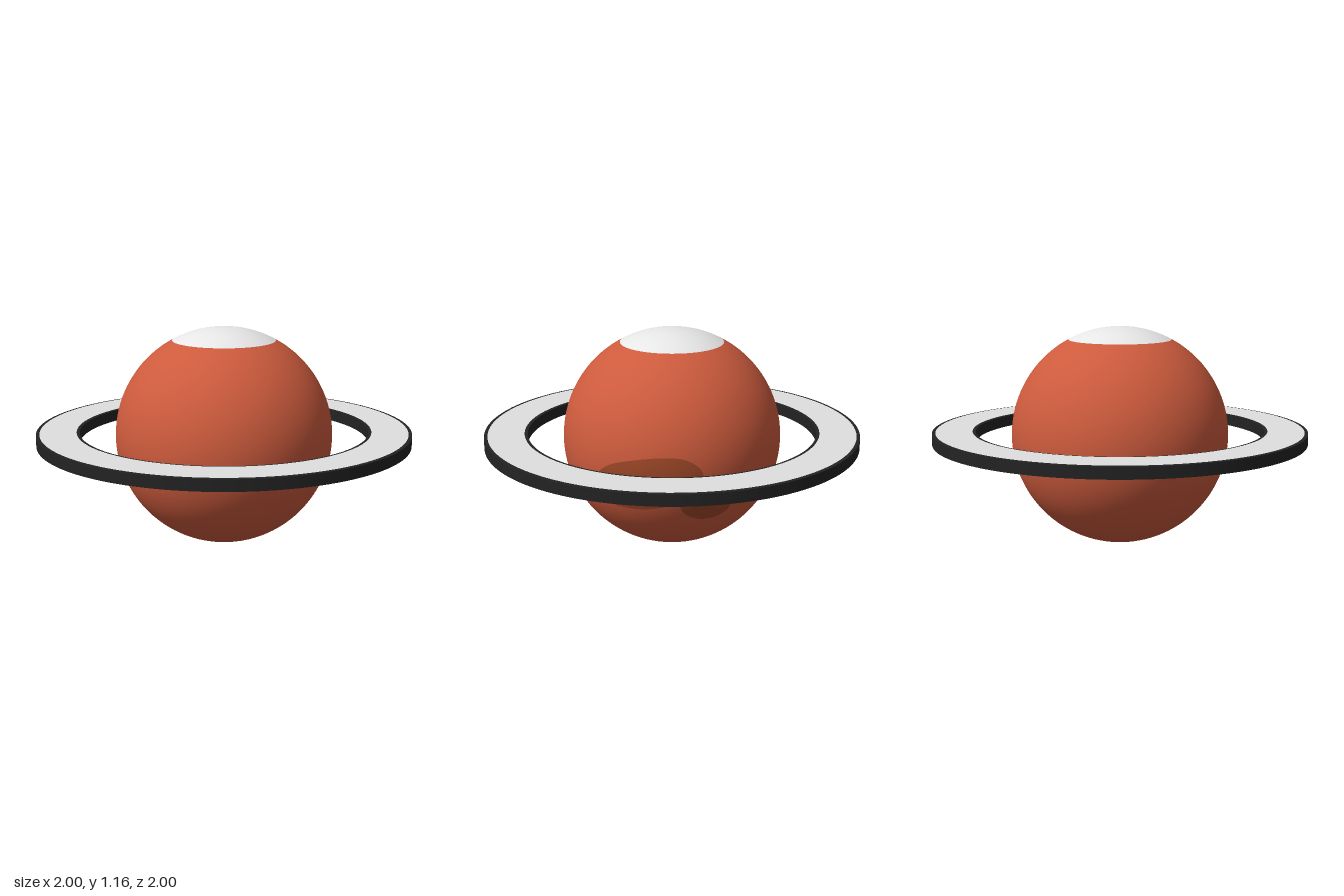
import * as THREE from 'three';
import { toCreasedNormals } from 'three/addons/utils/BufferGeometryUtils.js';

const R = 0.58; // planet radius, also the height of its centre

const mat = (name, color) => {
  const m = new THREE.MeshStandardMaterial({ color });
  m.name = name;
  return m;
};

// Direction the dark patches face, with its sideways and upward axes
const az = THREE.MathUtils.degToRad(40), el = THREE.MathUtils.degToRad(-29.5);
const facing = new THREE.Vector3(
  Math.sin(az) * Math.cos(el), Math.sin(el), -Math.cos(az) * Math.cos(el));
const side = new THREE.Vector3(-Math.cos(az), 0, -Math.sin(az));
const up = new THREE.Vector3().crossVectors(facing, side);

// Fills an outline (counter-clockwise, around a centre) and wraps it onto the sphere
function patchGeometry(outline, center, rings = 14) {
  const n = outline.length, r = R + 0.002;
  const pos = [], nor = [], idx = [];
  for (let i = 0; i <= rings; i++) {
    for (let j = 0; j < n; j++) {
      const p = center.clone().lerp(outline[j], i / rings);
      const depth = Math.sqrt(r * r - p.lengthSq());
      const v = new THREE.Vector3().addScaledVector(side, p.x)
        .addScaledVector(up, p.y).addScaledVector(facing, depth);
      pos.push(v.x, v.y, v.z);
      nor.push(v.x / r, v.y / r, v.z / r);
      if (i === rings) continue;
      const a = i * n + j, b = i * n + (j + 1) % n;
      idx.push(a, a + n, b + n);
      if (i > 0) idx.push(a, b + n, b);
    }
  }
  const g = new THREE.BufferGeometry();
  g.setAttribute('position', new THREE.Float32BufferAttribute(pos, 3));
  g.setAttribute('normal', new THREE.Float32BufferAttribute(nor, 3));
  g.setIndex(idx);
  return g;
}

export function createModel() {
  const model = new THREE.Group();
  model.name = 'ringedPlanet';
  const rust = mat('rust', 0xcd5b3d);
  const darkRust = mat('darkRust', 0x9f4828);
  const ice = mat('ice', 0xe9e9e9);
  const paleGrey = mat('paleGrey', 0xe0e0e0);
  const black = mat('black', 0x232323);

  const add = (name, geometry, material, y = R) => {
    const m = new THREE.Mesh(geometry, material);
    m.name = name;
    m.position.y = y;
    model.add(m);
    return m;
  };

  // Planet and polar cap share one sphere, split at a latitude
  const cap = THREE.MathUtils.degToRad(28.2);
  add('planet', new THREE.SphereGeometry(R, 96, 64, 0, Math.PI * 2, cap, Math.PI - cap), rust);
  add('polarCap', new THREE.SphereGeometry(R, 96, 16, 0, Math.PI * 2, 0, cap), ice);

  // Dark surface patches: one bean-shaped, one small oval
  const bean = [
    [-0.36, 0.09], [-0.335, 0.035], [-0.27, 0.027], [-0.19, 0.038], [-0.07, 0.063],
    [0.03, 0.093], [0.11, 0.115], [0.17, 0.14], [0.197, 0.195], [0.178, 0.27],
    [0.1, 0.325], [-0.02, 0.336], [-0.15, 0.31], [-0.27, 0.255], [-0.34, 0.18],
  ].map(([x, y]) => new THREE.Vector3(x, y, 0));
  const beanOutline = new THREE.CatmullRomCurve3(bean, true).getPoints(72).slice(0, -1)
    .map((p) => new THREE.Vector2(p.x, p.y));
  add('largePatch', patchGeometry(beanOutline, new THREE.Vector2(-0.07, 0.19)), darkRust);

  const oval = new THREE.EllipseCurve(0.203, 0.059, 0.135, 0.092, 0, Math.PI * 2, false, -0.5);
  add('smallPatch', patchGeometry(oval.getPoints(48).slice(0, -1),
    new THREE.Vector2(0.203, 0.059)), darkRust);

  // Flat ring body
  const annulus = new THREE.Shape().absarc(0, 0, 1, 0, Math.PI * 2, false);
  annulus.holes.push(new THREE.Path().absarc(0, 0, 0.77, 0, Math.PI * 2, true));
  const body = new THREE.ExtrudeGeometry(annulus,
    { depth: 0.06, bevelEnabled: false, curveSegments: 96 });
  body.translate(0, 0, -0.03);
  body.rotateX(-Math.PI / 2);
  add('ringBody', toCreasedNormals(body, 0.6), black);

  // Pale faces on both sides of the ring, leaving dark rims
  for (const s of [1, -1]) {
    const face = new THREE.RingGeometry(0.787, 0.982, 96);
    face.rotateX(-s * Math.PI / 2);
    add(s > 0 ? 'ringTopFace' : 'ringBottomFace', face, paleGrey, R + s * 0.032);
  }
  return model;
}
